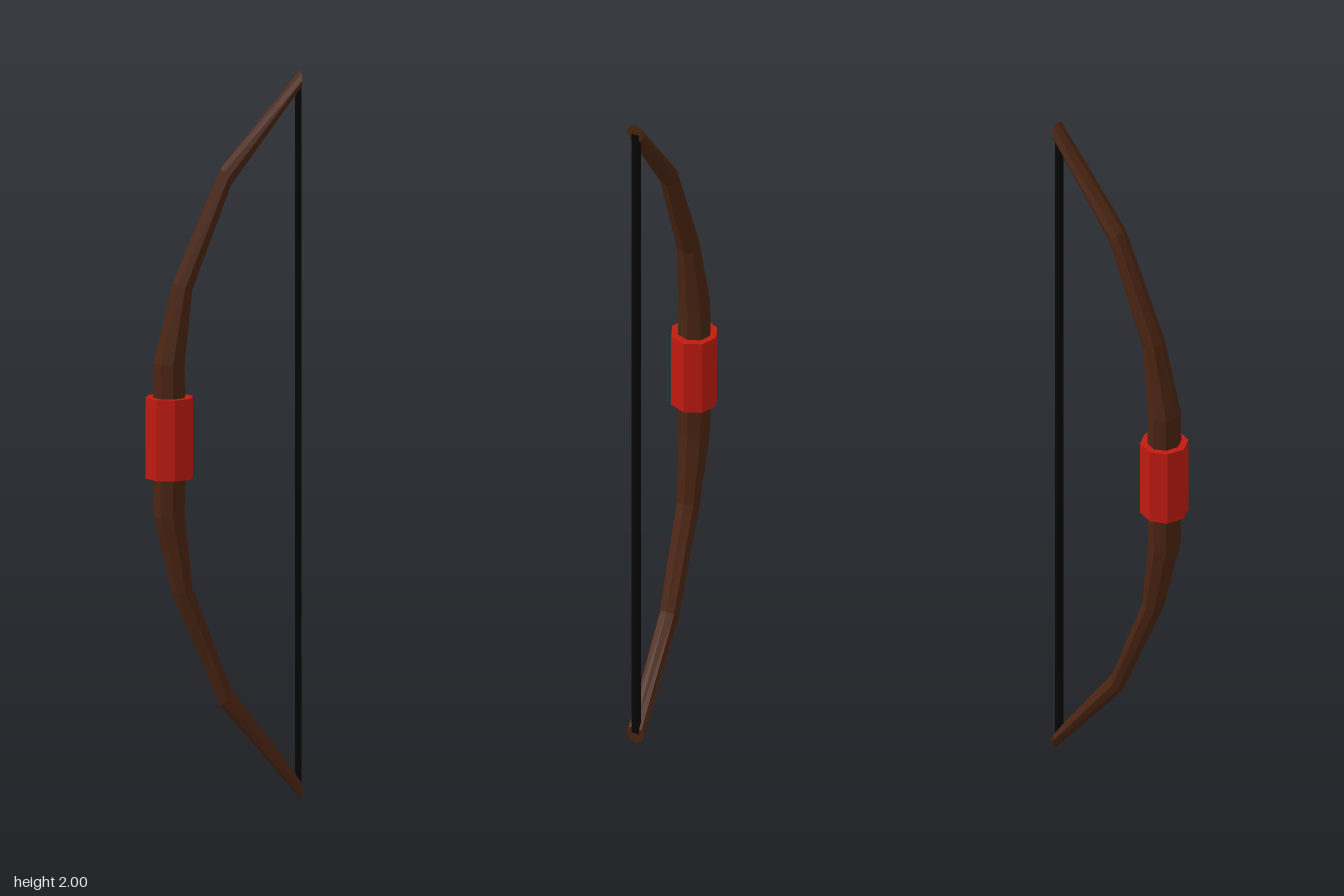
import * as THREE from 'three';

const SIDES = 8;
const paint = (color) => new THREE.MeshStandardMaterial({ color, flatShading: true });

// Upper half sections, heights from the grip centre: [backX, backY, bellyX, bellyY, half width]
const upper = [
  [-0.048, 0.0, 0.048, 0.0, 0.05],
  [-0.044, 0.21, 0.042, 0.205, 0.046],
  [0.009, 0.428, 0.064, 0.408, 0.034],
  [0.142, 0.737, 0.171, 0.69, 0.029],
  [0.363, 1.0, 0.363, 0.948, 0.026],
];

// Loft eight-sided elliptical sections into a closed stave
function staveGeometry() {
  const lower = upper.slice(1).reverse().map(([a, b, c, d, w]) => [a, -b, c, -d, w]);
  const rings = [...lower, ...upper];
  const pos = [], index = [];
  for (const [bx, by, ix, iy, w] of rings) {
    for (let i = 0; i < SIDES; i++) {
      const a = (i / SIDES) * Math.PI * 2;
      const t = (1 + Math.cos(a)) / 2;
      pos.push(bx + (ix - bx) * t, 1 + by + (iy - by) * t, -Math.sin(a) * w);
    }
  }
  for (let r = 0; r < rings.length - 1; r++) {
    for (let i = 0; i < SIDES; i++) {
      const j = (i + 1) % SIDES;
      const a = r * SIDES + i, b = r * SIDES + j;
      index.push(a, b, b + SIDES, a, b + SIDES, a + SIDES);
    }
  }
  // Flat tip caps
  const last = (rings.length - 1) * SIDES;
  for (let i = 1; i < SIDES - 1; i++) {
    index.push(0, i + 1, i, last, last + i, last + i + 1);
  }
  const g = new THREE.BufferGeometry();
  g.setAttribute('position', new THREE.Float32BufferAttribute(pos, 3));
  g.setIndex(index);
  const flat = g.toNonIndexed();
  flat.computeVertexNormals();
  return flat;
}

export function createModel() {
  const bow = new THREE.Group();
  bow.name = 'bow';
  const add = (name, geometry, color, x, y) => {
    const mesh = new THREE.Mesh(geometry, paint(color));
    mesh.name = name;
    mesh.position.set(x, y, 0);
    bow.add(mesh);
  };

  add('stave', staveGeometry(), 0x4a2412, 0, 0);

  // Octagonal wrap with a corner facing along the bow's plane
  const wrap = new THREE.CylinderGeometry(0.066, 0.066, 0.222, SIDES);
  add('grip', wrap, 0xc01a10, 0, 1.005);

  // Taut string between the tips
  add('string', new THREE.BoxGeometry(0.013, 1.94, 0.022), 0x050505, 0.357, 1);

  // The bow is turned slightly about its height
  bow.rotation.y = 0.155;
  bow.position.set(-0.153, 0, 0.009);

  const model = new THREE.Group();
  model.add(bow);
  return model;
}
